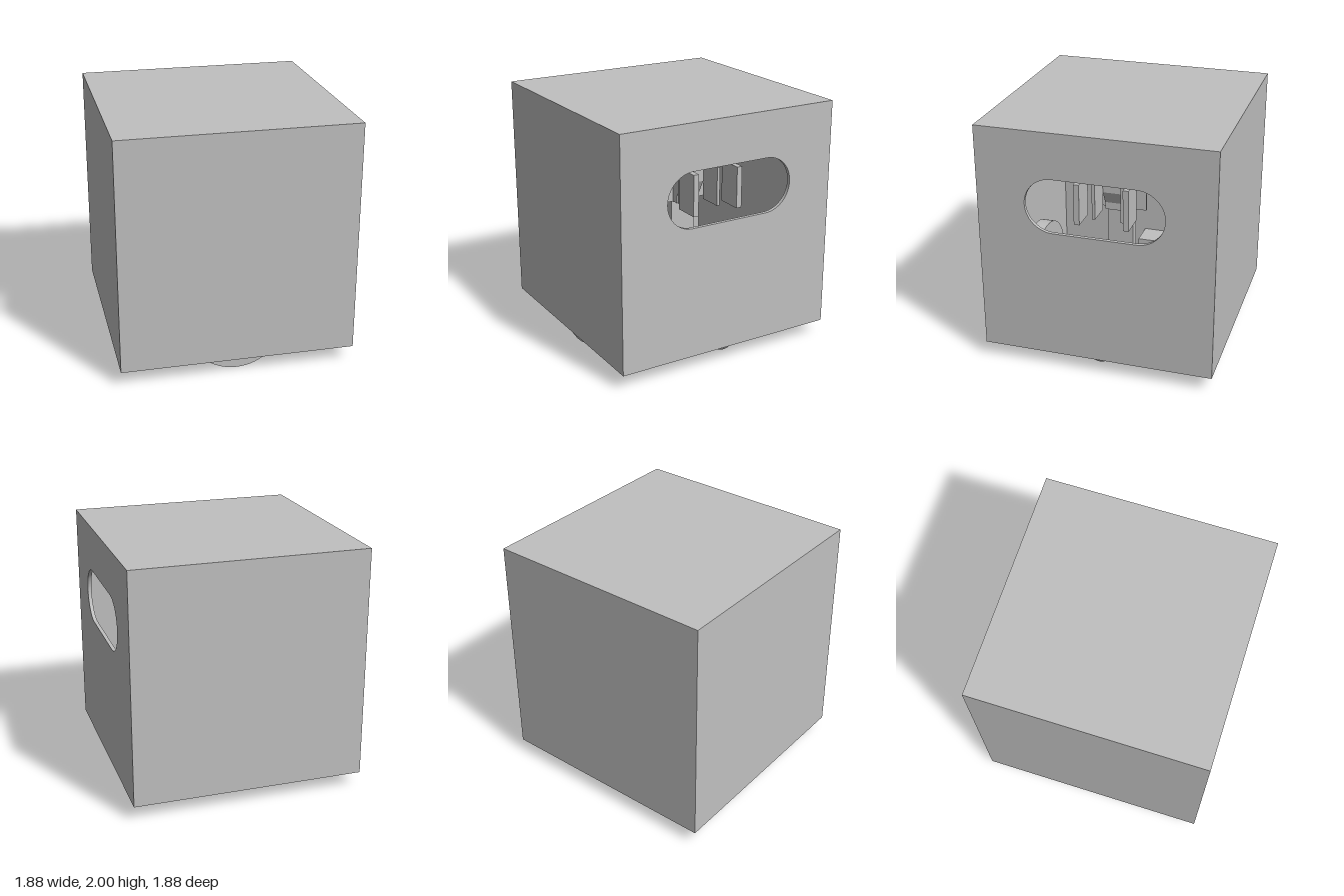
import * as THREE from 'three';

const W = 0.94, T = 0.03, BOTTOM = 0.12, TOP = 2;

export function createModel() {
  const model = new THREE.Group();
  const gray = new THREE.MeshStandardMaterial({ color: 0xc0c0c0 });
  gray.name = 'plain gray';

  const add = (name, geometry, x = 0, y = 0, z = 0) => {
    const mesh = new THREE.Mesh(geometry, gray);
    mesh.name = name;
    mesh.position.set(x, y, z);
    model.add(mesh);
    return mesh;
  };
  // Box given by its limits on each axis
  const block = (name, [x0, x1], [y0, y1], [z0, z1]) =>
    add(name, new THREE.BoxGeometry(x1 - x0, y1 - y0, z1 - z0),
      (x0 + x1) / 2, (y0 + y1) / 2, (z0 + z1) / 2);
  const extrude = (shape, depth) =>
    new THREE.ExtrudeGeometry(shape, { depth, bevelEnabled: false, curveSegments: 24 });
  const polygon = pts => new THREE.Shape(pts.map(([x, y]) => new THREE.Vector2(x, y)));

  // Open-bottomed cubic shell
  block('topPanel', [-W, W], [TOP - T, TOP], [-W, W]);
  block('frontWall', [-W, W], [BOTTOM, TOP - T], [W - T, W]);
  block('backWall', [-W, W], [BOTTOM, TOP - T], [-W, -W + T]);
  block('rightWall', [-W, -W + T], [BOTTOM, TOP - T], [-W + T, W - T]);

  // Side wall with a rounded slot
  const e = W - T;
  const wall = polygon([[-e, BOTTOM], [e, BOTTOM], [e, TOP - T], [-e, TOP - T]]);
  const slot = new THREE.Path();
  const r = 0.2225, cy = 1.4075, s = 0.33;
  slot.absarc(s, cy, r, -Math.PI / 2, Math.PI / 2, false);
  slot.absarc(-s, cy, r, Math.PI / 2, Math.PI * 1.5, false);
  slot.closePath();
  wall.holes.push(slot);
  add('slottedWall', extrude(wall, T), W - T).rotation.y = Math.PI / 2;

  // Notched chassis plate
  const plate = polygon([[-0.61, -0.61], [0.61, -0.61], [0.61, 0.61], [-0.61, 0.61],
    [-0.61, 0.31], [-0.19, 0.15], [-0.19, -0.15], [-0.61, -0.31]]);
  add('chassisPlate', extrude(plate, 0.03), 0, 0.25).rotation.x = Math.PI / 2;

  // Drive wheel and motor
  const wheel = new THREE.CylinderGeometry(0.387, 0.387, 0.11, 64);
  wheel.rotateX(Math.PI / 2);
  add('driveWheel', wheel, 0, 0.387, 0.795);
  block('motor', [-0.32, 0.13], [0.25, 0.45], [0.4, 0.74]);
  block('backCounterweight', [-0.28, 0.26], [0.18, 0.4], [-0.85, -0.75]);

  // Ball casters in square housings
  for (const side of [-1, 1]) {
    const x = side * 0.81;
    block('casterHousing', [x - 0.125, x + 0.125 - (side > 0 ? 0.025 : 0)], [0.15, 0.4], [-0.125, 0.125]);
    add('casterBall', new THREE.SphereGeometry(0.115, 32, 20), x, 0.16, -0.01);
  }

  // Bracket behind the slot
  for (const side of [-1, 1]) {
    const a = side * 0.175, b = side * 0.22;
    block('bracketSide', [0.56, 0.77], [1.2, 1.535], [Math.min(a, b), Math.max(a, b)]);
    const c = side * 0.105, d = side * 0.13;
    block('innerRail', [0.4, 0.6], [1.18, 1.495], [Math.min(c, d), Math.max(c, d)]);
  }
  block('bracketBack', [0.26, 0.28], [1.16, 1.535], [-0.22, 0.22]);
  block('mast', [0.18, 0.26], [0.25, 1.18], [-0.105, 0.105]);

  // Stepped strip with overhanging slopes
  const strip = polygon([[0.28, 1.16], [0.34, 1.16], [0.34, 1.22], [0.4, 1.33], [0.4, 1.44],
    [0.43, 1.49], [0.43, 1.53], [0.45, 1.56], [0.45, 1.7], [0.28, 1.7]]);
  add('steppedStrip', extrude(strip, 0.21), 0, 0, -0.105);

  return model;
}
